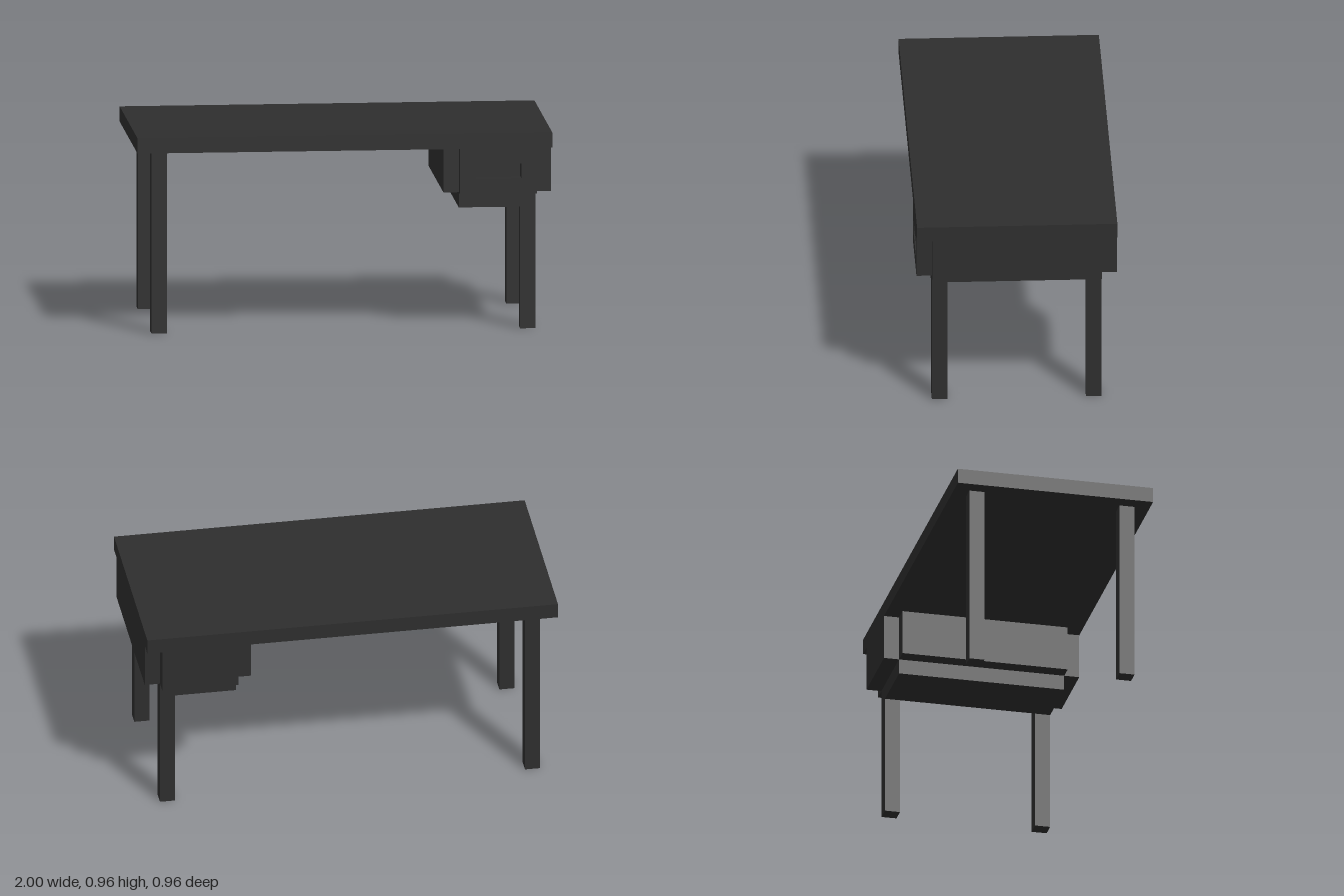
import * as THREE from 'three';

// The desk sits on a block grid, 27 wide, 13 high and 13 deep.
const U = 2 / 27;
const W = 27, D = 13;

export function createModel() {
  const desk = new THREE.Group();
  desk.name = 'desk';
  const charcoal = new THREE.MeshStandardMaterial({ color: 0x2e2e2e });
  charcoal.name = 'charcoal';

  // Box between two grid corners, x from the right end, z from the back.
  function block(name, [x0, y0, z0], [x1, y1, z1], parent = desk) {
    const geometry = new THREE.BoxGeometry((x1 - x0) * U, (y1 - y0) * U, (z1 - z0) * U);
    const mesh = new THREE.Mesh(geometry, charcoal);
    mesh.position.set(((x0 + x1 - W) / 2) * U, ((y0 + y1) / 2) * U, ((z0 + z1 - D) / 2) * U);
    mesh.name = name;
    parent.add(mesh);
  }

  block('tabletop', [0, 12, 0], [27, 13, 13]);

  // Legs: the pair under the drawer stops at its underside
  for (const [x, top, side] of [[1, 12, 'right'], [25, 9, 'left']]) {
    for (const [z, end] of [[1, 'Back'], [11, 'Front']]) {
      block(side + end + 'Leg', [x, 0, z], [x + 1, top, z + 1]);
    }
  }

  // Drawer unit with notched corners
  const drawer = new THREE.Group();
  drawer.name = 'drawerUnit';
  desk.add(drawer);
  block('drawerBody', [20, 9, 1], [27, 12, 12], drawer);
  block('drawerBack', [21, 9, 0], [26, 12, 1], drawer);
  block('drawerBottom', [21, 8, 1], [25, 9, 12], drawer);

  // Drawer front with a handle slot
  const rectangle = (Type, x0, y0, x1, y1) => {
    const path = new Type();
    path.moveTo(x0 * U, y0 * U).lineTo(x1 * U, y0 * U);
    path.lineTo(x1 * U, y1 * U).lineTo(x0 * U, y1 * U).closePath();
    return path;
  };
  const panel = rectangle(THREE.Shape, 21, 9, 26, 12);
  panel.holes.push(rectangle(THREE.Path, 22, 10, 25, 11));
  const front = new THREE.Mesh(
    new THREE.ExtrudeGeometry(panel, { depth: U, bevelEnabled: false }), charcoal);
  front.position.set((-W / 2) * U, 0, (D / 2 - 1) * U);
  front.name = 'drawerFront';
  drawer.add(front);

  return desk;
}
